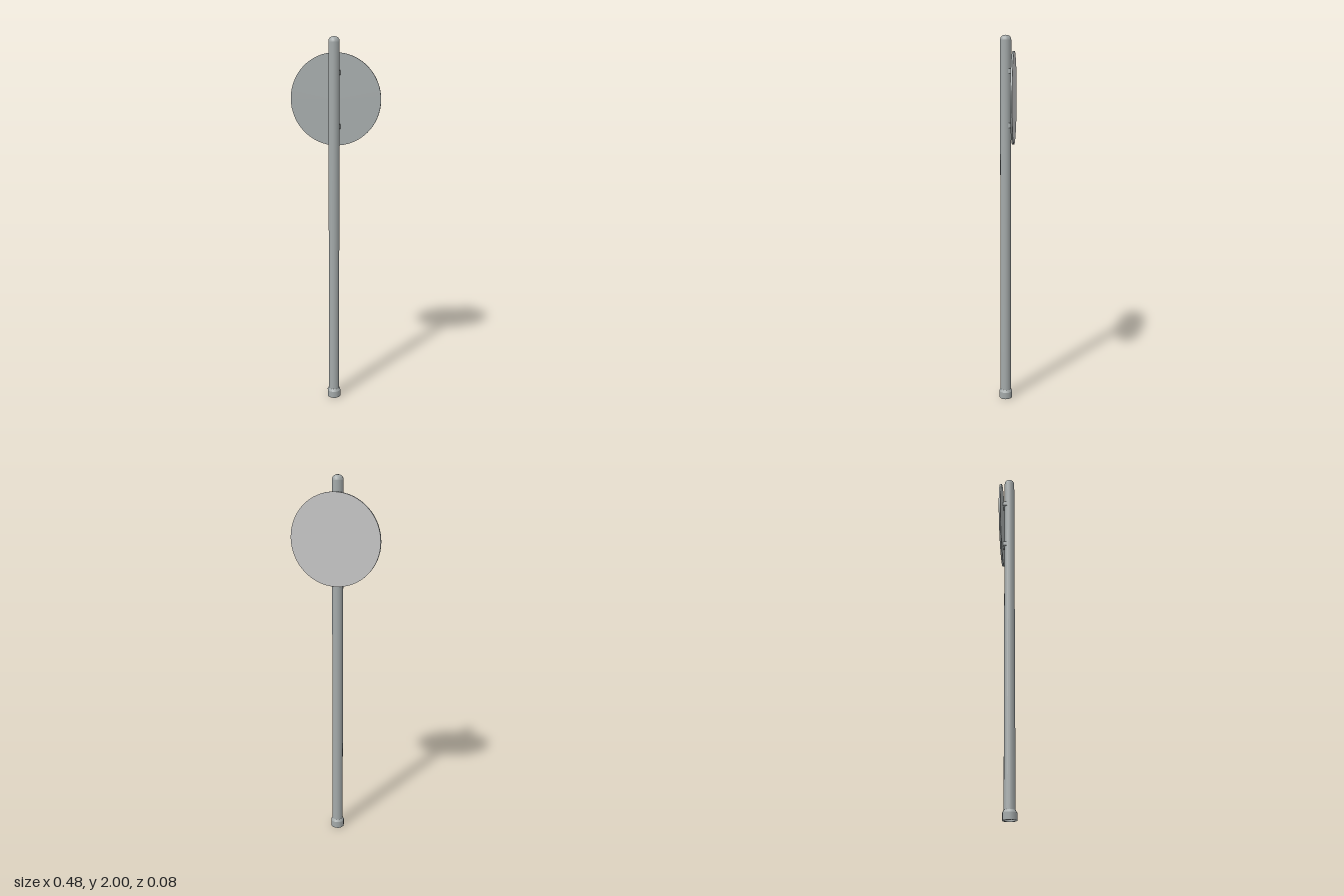
import * as THREE from 'three';

const POLE_Z = 0.005;
const metal = new THREE.MeshStandardMaterial({ color: 0xa4aaaa, side: THREE.DoubleSide });
metal.name = 'galvanised grey';
const plate = new THREE.MeshStandardMaterial({ color: 0xc4c4c4 });
plate.name = 'pale grey';

export function createModel() {
  const model = new THREE.Group();
  model.name = 'roundSign';

  const add = (name, geometry, material, x, y, z) => {
    const mesh = new THREE.Mesh(geometry, material);
    mesh.name = name;
    mesh.position.set(x, y, z);
    model.add(mesh);
  };
  const turned = (points, sides) =>
    new THREE.LatheGeometry(points.map(([r, y]) => new THREE.Vector2(r, y)), sides);

  // Hollow pole, open at the foot
  add('pole', new THREE.CylinderGeometry(0.029, 0.029, 1.975, 16, 1, true), metal, 0, 0.9875, POLE_Z);

  // Domed cap
  add('poleCap', turned([[0.029, 1.975], [0.027, 1.985], [0.021, 1.994], [0.011, 1.999], [0, 2]], 16),
    metal, 0, 0, POLE_Z);

  // Foot sleeve with a tapered shoulder
  add('footSleeve', new THREE.CylinderGeometry(0.037, 0.037, 0.038, 12, 1, true), metal, 0, 0.019, POLE_Z);
  add('footShoulder', turned([[0.037, 0.038], [0.029, 0.052]], 12), metal, 0, 0, POLE_Z);

  // Round sign plate; its pale face looks towards -z
  const disc = new THREE.CylinderGeometry(0.238, 0.238, 0.01, 64);
  disc.rotateX(-Math.PI / 2);
  add('signPlate', disc, [metal, plate, metal], 0, 1.683, -0.036);

  // Brackets between pole and plate
  for (const [name, y] of [['upperBracket', 1.82], ['lowerBracket', 1.545]]) {
    add(name, new THREE.BoxGeometry(0.054, 0.024, 0.024), metal, 0, y, -0.02);
  }

  return model;
}
